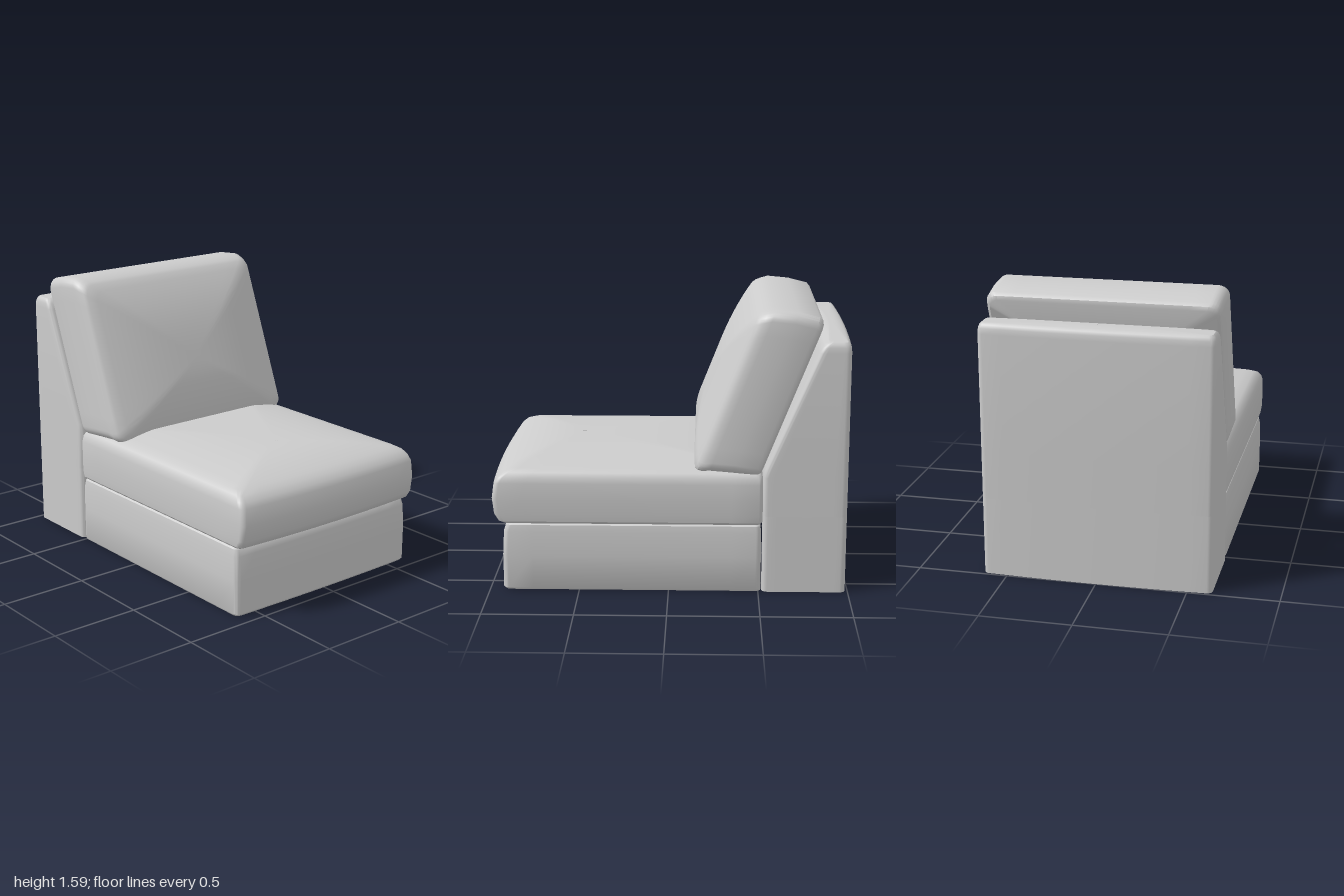
import * as THREE from 'three';
import { toCreasedNormals } from 'three/addons/utils/BufferGeometryUtils.js';

const material = new THREE.MeshStandardMaterial({ color: 0xcccccc, side: THREE.DoubleSide });

// Rounded rectangle in plan at height y, starting at the middle of the z0 side.
// bow pushes the z1 side outward; gap leaves the z0 side open between x = -gap and gap.
function ring([w, z0, z1, y, r = 0.03], bow = 0, gap = 0) {
  const pts = [];
  const line = (x0, za, x1, zb, n) => {
    for (let i = 0; i < n; i++) pts.push([x0 + (x1 - x0) * i / n, za + (zb - za) * i / n]);
  };
  const arc = (cx, cz, start) => {
    for (let i = 0; i < 6; i++) {
      const a = start + (Math.PI / 2) * i / 6;
      pts.push([cx + r * Math.cos(a), cz + r * Math.sin(a)]);
    }
  };
  const g = Math.min(gap, w - r);
  line(g, z0, w - r, z0, 6);
  arc(w - r, z0 + r, -Math.PI / 2);
  line(w, z0 + r, w, z1 - r, 10);
  arc(w - r, z1 - r, 0);
  line(w - r, z1, r - w, z1, 12);
  arc(r - w, z1 - r, Math.PI / 2);
  line(-w, z1 - r, -w, z0 + r, 10);
  arc(r - w, z0 + r, Math.PI);
  line(r - w, z0, -g, z0, 6);
  pts.push([-g, z0]);
  return pts.map(([x, z]) => {
    const f = Math.max(0, (z - z0) / (z1 - z0));
    return [x, y, z + bow * f ** 4 * (1 - (x / w) ** 2)];
  });
}

// Skin stacked rings into one surface.
function loft(name, sections, { bow = 0, gap = 0, crease = 0.6 } = {}) {
  const rows = sections.map((s) => ring(s, bow, gap));
  const n = rows[0].length;
  const index = [];
  for (let j = 0; j < rows.length - 1; j++) {
    for (let i = 0; i < n - 1; i++) {
      const a = j * n + i, b = a + 1, c = a + n, d = c + 1;
      index.push(a, c, b, b, c, d);
    }
  }
  const geo = new THREE.BufferGeometry();
  geo.setAttribute('position', new THREE.Float32BufferAttribute(rows.flat(2), 3));
  geo.setIndex(index);
  const mesh = new THREE.Mesh(toCreasedNormals(geo, crease), material);
  mesh.name = name;
  return mesh;
}

// Rings shrinking from an edge ring towards (0, zc), rising by height into a soft crown.
function crown([w, z0, z1, y, r], zc, height, power = 2.5) {
  const out = [];
  for (let i = 1; i <= 12; i++) {
    const s = Math.max(0.002, 1 - i / 12);
    out.push([w * s, zc + (z0 - zc) * s, zc + (z1 - zc) * s, y + height * (1 - s ** power), r * s]);
  }
  return out;
}

export function createModel() {
  const model = new THREE.Group();

  // Base: wall around three sides with a top flange, open below and behind
  model.add(loft('base', [
    [0.625, -0.515, 0.915, 0.0],
    [0.633, -0.515, 0.925, 0.012],
    [0.634, -0.515, 0.925, 0.2],
    [0.632, -0.515, 0.917, 0.34],
    [0.625, -0.51, 0.905, 0.378],
    [0.61, -0.505, 0.89, 0.39],
    [0.53, -0.46, 0.81, 0.385],
  ], { bow: 0.01, gap: 0.57 }));

  // Seat cushion: hollow below, bulging front, crowned top
  const seatEdge = [0.585, -0.49, 0.88, 0.695, 0.05];
  model.add(loft('seatCushion', [
    [0.53, -0.46, 0.81, 0.385],
    [0.615, -0.51, 0.92, 0.385],
    [0.63, -0.52, 0.945, 0.4],
    [0.635, -0.522, 0.968, 0.44],
    [0.636, -0.522, 0.978, 0.53],
    [0.635, -0.522, 0.965, 0.62],
    [0.628, -0.52, 0.945, 0.652],
    [0.612, -0.51, 0.915, 0.678],
    seatEdge,
    ...crown(seatEdge, 0.5, 0.058),
  ], { bow: 0.022 }));

  // Back cushion: built lying flat, then leaned against the back
  const faceEdge = [0.6, -0.825, 0.095, 0.345, 0.06];
  const backCushion = loft('backCushion', [
    [0.002, -0.451, -0.449, 0, 0.001],
    [0.61, -0.91, -0.01, 0, 0.05],
    [0.626, -0.93, 0.005, 0.012, 0.06],
    [0.633, -0.94, 0.012, 0.035, 0.06],
    [0.635, -0.925, 0.04, 0.15, 0.06],
    [0.635, -0.89, 0.075, 0.27, 0.06],
    [0.628, -0.865, 0.095, 0.305, 0.06],
    [0.616, -0.845, 0.1, 0.33, 0.06],
    faceEdge,
    ...crown(faceEdge, -0.3, 0.08),
  ]);
  backCushion.rotation.x = 1.196;
  backCushion.position.set(0, 0.66, -0.5);
  model.add(backCushion);

  // Back: wedge-shaped shell, open below; its front opening faces into the base
  const back = new THREE.Group();
  back.name = 'back';
  back.add(loft('lowerBack', [
    [0.635, 0.52, 0.985, 0],
    [0.635, 0.52, 0.985, 0.44],
  ], { bow: 0.015, gap: 0.57 }));
  const backTop = [0.615, 0.86, 0.965, 1.418, 0.02];
  back.add(loft('upperBack', [
    [0.635, 0.52, 0.985, 0.44],
    [0.635, 0.52, 0.985, 0.66],
    [0.635, 0.535, 0.985, 0.71],
    [0.635, 0.81, 0.985, 1.36],
    [0.632, 0.825, 0.983, 1.39],
    [0.626, 0.84, 0.976, 1.408],
    backTop,
    ...crown(backTop, 0.91, 0.01),
  ], { bow: 0.015 }));
  back.rotation.y = Math.PI;
  model.add(back);

  return model;
}
